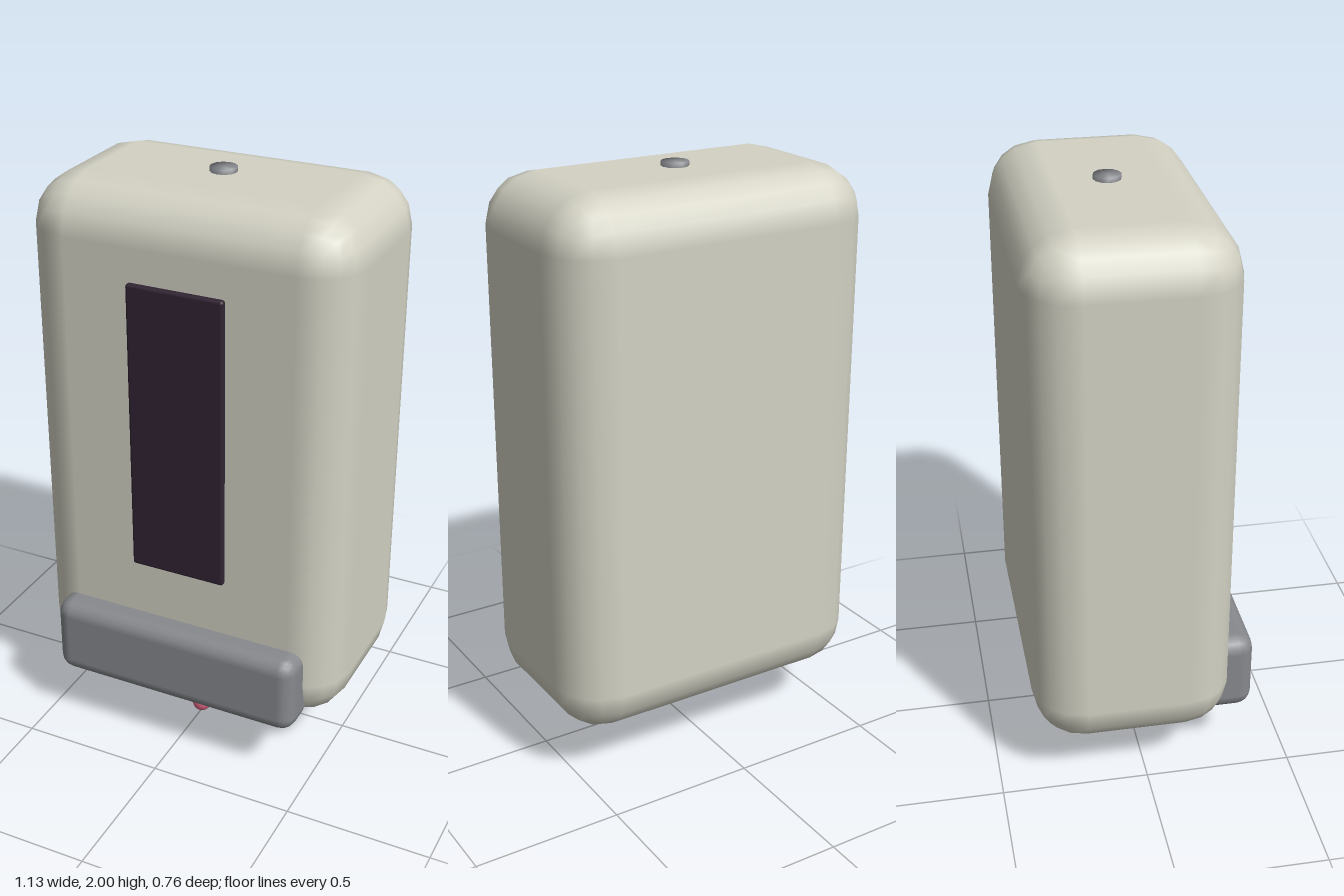
import * as THREE from 'three';
import { RoundedBoxGeometry } from 'three/addons/geometries/RoundedBoxGeometry.js';
import { mergeVertices } from 'three/addons/utils/BufferGeometryUtils.js';

export function createModel() {
  const model = new THREE.Group();
  model.name = 'wallDispenser';

  const material = (name, color) => {
    const m = new THREE.MeshStandardMaterial({ color });
    m.name = name;
    return m;
  };
  const cream = material('cream', 0xd3d2c4);
  const grey = material('grey', 0x87898d);
  const dark = material('darkPlum', 0x312433);
  const pink = material('pink', 0xd0607c);

  const add = (name, geometry, mat, x, y, z) => {
    const mesh = new THREE.Mesh(geometry, mat);
    mesh.name = name;
    mesh.position.set(x, y, z);
    model.add(mesh);
    return mesh;
  };
  // Box given by its half width and its y and z limits
  const roundedBox = (name, mat, halfX, y0, y1, z0, z1, segments, radius) =>
    add(name, new RoundedBoxGeometry(halfX * 2, y1 - y0, z1 - z0, segments, radius),
      mat, 0, (y0 + y1) / 2, (z0 + z1) / 2);
  // Cylinder whose rim is shaded softly into its caps
  const softCylinder = (radius, height, sides) => {
    const g = new THREE.CylinderGeometry(radius, radius, height, sides);
    g.deleteAttribute('uv');
    g.deleteAttribute('normal');
    const merged = mergeVertices(g);
    merged.computeVertexNormals();
    return merged;
  };

  // Housing, level window and push lever
  roundedBox('housing', cream, 0.565, 0.18, 1.985, -0.38, 0.295, 2, 0.17);
  roundedBox('levelWindow', dark, 0.168, 0.69, 1.705, 0.273, 0.313, 2, 0.01);
  roundedBox('pushLever', grey, 0.453, 0.205, 0.49, 0.2, 0.38, 2, 0.055);

  // Lock button on top
  add('lockButton', softCylinder(0.045, 0.04, 12), grey, 0, 1.98, -0.045);

  // Spout with a drop at its tip
  add('spout', new THREE.CylinderGeometry(0.033, 0.033, 0.16, 12), grey, 0, 0.145, 0.13);
  add('drop', new THREE.SphereGeometry(0.034, 14, 10), pink, 0, 0.035, 0.13);

  return model;
}
